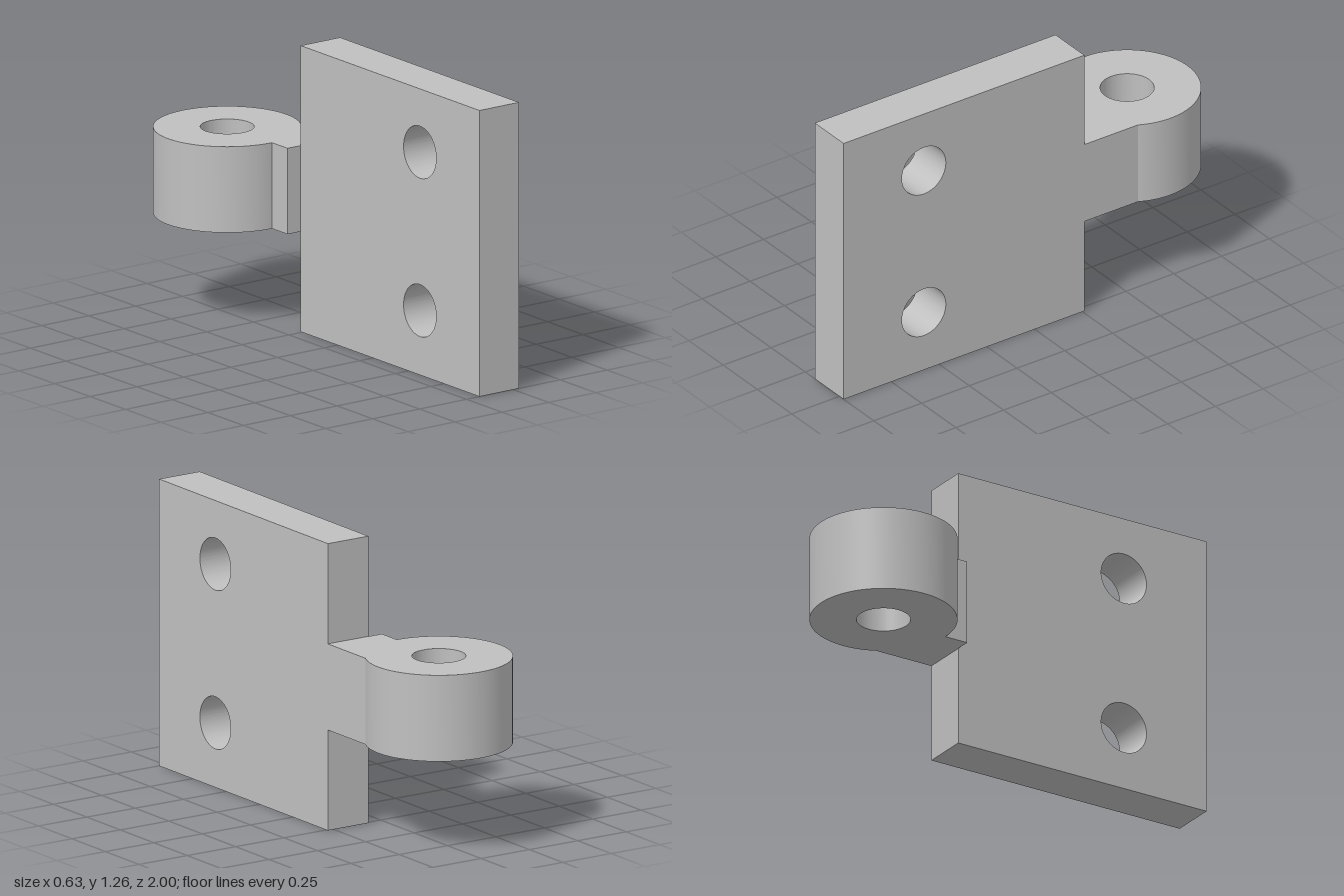
import * as THREE from 'three';
import { toCreasedNormals } from 'three/addons/utils/BufferGeometryUtils.js';

const HOLE_RADIUS = 0.115;

function addHole(shape, x, y) {
  const hole = new THREE.Path();
  hole.absarc(x, y, HOLE_RADIUS, 0, Math.PI * 2, true);
  shape.holes.push(hole);
}

function extrude(shape, depth) {
  const geometry = new THREE.ExtrudeGeometry(shape, { depth, bevelEnabled: false, curveSegments: 64 });
  return toCreasedNormals(geometry, 0.4);
}

export function createModel() {
  const group = new THREE.Group();
  group.name = 'hingeLeaf';
  const steel = new THREE.MeshStandardMaterial({ color: 0xc0c0c0 });
  steel.name = 'grey steel';

  function add(name, geometry) {
    const mesh = new THREE.Mesh(geometry, steel);
    mesh.name = name;
    group.add(mesh);
  }

  // Mounting plate: drawn in z and y, extruded across x, with two screw holes
  const plate = new THREE.Shape();
  plate.moveTo(-0.26, 0).lineTo(1, 0).lineTo(1, 1.265).lineTo(-0.26, 1.265).closePath();
  for (const y of [0.285, 0.985]) addHole(plate, 0.58, y);
  add('mountingPlate', extrude(plate, 0.21).rotateY(-Math.PI / 2).translate(0.28, 0, 0));

  // Knuckle: pin barrel and its neck in one outline, extruded upwards
  const radius = 0.315, centre = 0.685, neckX = 0.28;
  const startAngle = -Math.acos(neckX / radius);
  const knuckle = new THREE.Shape();
  knuckle.moveTo(0, 0.26).lineTo(neckX, 0.26);
  knuckle.absarc(0, centre, radius, startAngle, Math.PI * 1.5, false);
  knuckle.closePath();
  addHole(knuckle, 0, centre);
  add('knuckle', extrude(knuckle, 0.38).rotateX(-Math.PI / 2).translate(0, 0.443, 0));

  return group;
}
